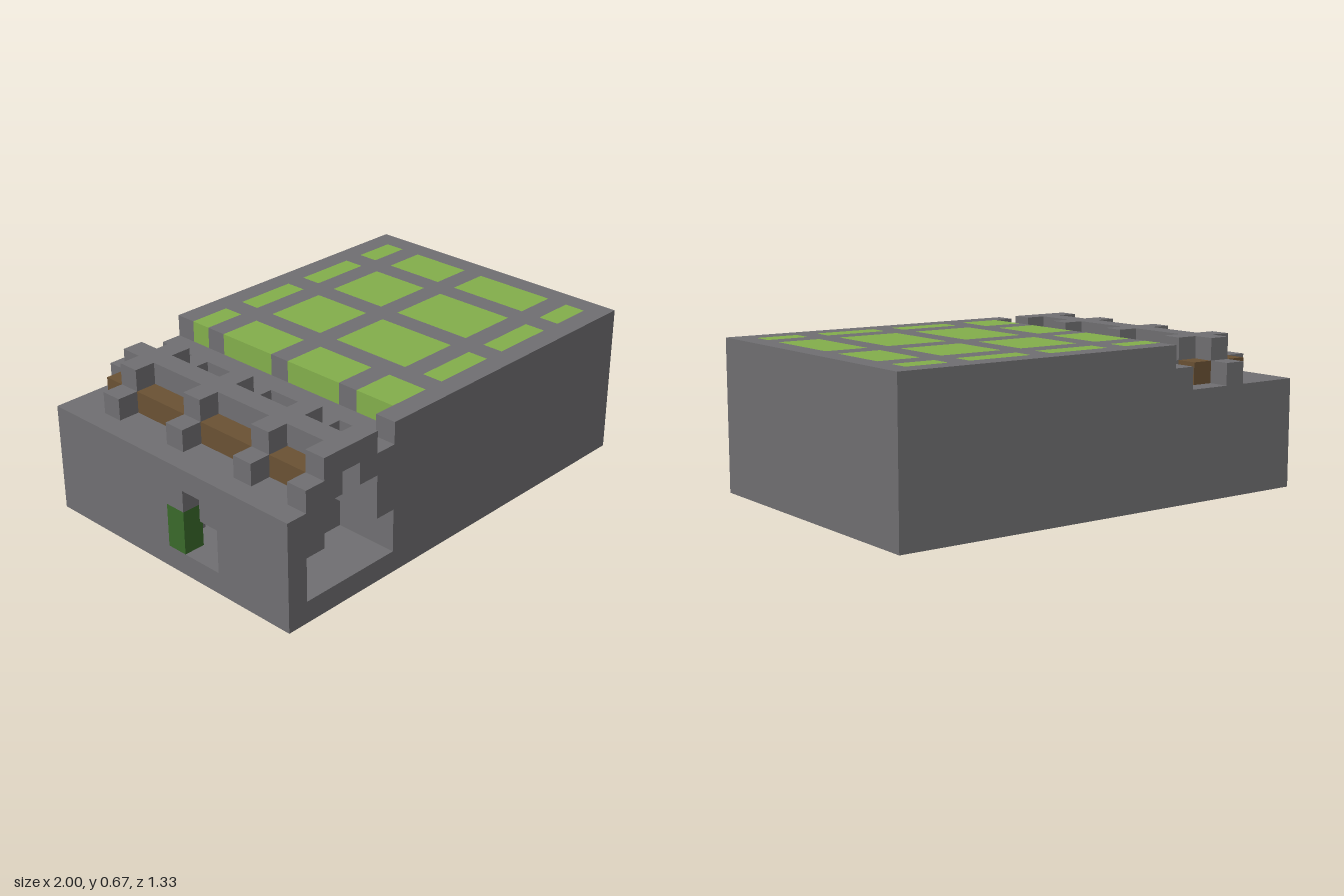
import * as THREE from 'three';
import { mergeGeometries } from 'three/addons/utils/BufferGeometryUtils.js';

// Grid of cubic blocks: 21 wide (x), 7 high (y), 14 deep (z)
const NX = 21, NY = 7, NZ = 14, U = 2 / NX;

export function createModel() {
  const group = new THREE.Group();
  group.name = 'vaultedHallBlock';

  const mat = (name, color) => {
    const m = new THREE.MeshStandardMaterial({ color });
    m.name = name;
    return m;
  };
  const stone = mat('stone grey', 0x717073);
  const grass = mat('grass green', 0x84b04c);
  const timber = mat('timber brown', 0x6b5234);
  const leaf = mat('dark leaf green', 0x3a6a2b);
  const materials = {
    stoneBody: stone, stoneRibs: stone, ridgeBeam: stone, entranceArch: stone,
    grassPatches: grass, timberPanels: timber, plants: leaf, planters: stone,
  };

  // Fill a range of blocks (inclusive) with a part name, or null to hollow it out
  const cells = new Map();
  const key = (i, j, k) => `${i},${j},${k}`;
  const fill = (part, [i0, i1], [j0, j1], [k0, k1]) => {
    for (let i = i0; i <= i1; i++)
      for (let j = j0; j <= j1; j++)
        for (let k = k0; k <= k1; k++)
          if (part) cells.set(key(i, j, k), part);
          else cells.delete(key(i, j, k));
  };

  // Lower mass, ledge beside the vault and the raised terrace
  fill('stoneBody', [0, 20], [0, 4], [0, 13]);
  fill('stoneBody', [6, 20], [5, 5], [0, 13]);
  fill('stoneBody', [7, 20], [6, 6], [0, 13]);
  fill('stoneBody', [6, 6], [6, 6], [13, 13]);

  // Grass beds between the stone paths
  const beds = [[1, 1], [3, 5], [7, 10], [12, 12]];
  for (const xs of [[10, 12], [14, 16], [18, 19]])
    for (const zs of beds) fill('grassPatches', xs, [6, 6], zs);
  const bays = [[1, 1], [3, 5], [7, 9], [11, 12]];
  for (const zs of bays) fill('grassPatches', [7, 8], [6, 6], zs);

  // Vault roof: timber panels on both sides of the ridge
  for (const zs of bays)
    for (const i of [2, 4]) fill('timberPanels', [i, i], [5, 5], zs);
  fill('ridgeBeam', [3, 3], [6, 6], [1, 12]);
  fill('ridgeBeam', [3, 3], [5, 5], [0, 0]);

  // Hollow hall under the vault, stepped in section
  fill(null, [1, 5], [1, 2], [1, 13]);
  fill(null, [2, 4], [3, 4], [1, 13]);

  // Cross ribs and the entrance arch, with buttresses and inner pillars
  for (const k of [2, 6, 10, 13]) {
    const part = k === 13 ? 'entranceArch' : 'stoneRibs';
    fill(part, [1, 5], [5, 5], [k, k]);
    fill(part, [2, 4], [6, 6], [k, k]);
    fill(null, [3, 3], [5, 5], [k, k]);
    if (k < 13) for (const i of [1, 5]) fill(part, [i, i], [1, 2], [k, k]);
  }

  // Side doorway with a leafy shrub beside it
  fill(null, [0, 0], [1, 2], [8, 9]);
  fill(null, [0, 0], [3, 3], [8, 8]);
  fill('plants', [0, 0], [1, 2], [7, 7]);

  // Planters and plants inside the hall
  fill('planters', [1, 1], [1, 1], [12, 12]);
  fill('planters', [2, 2], [1, 1], [3, 3]);
  fill('planters', [3, 3], [1, 1], [1, 1]);
  fill('planters', [4, 4], [1, 1], [4, 4]);
  fill('planters', [4, 4], [4, 4], [1, 1]);
  fill('plants', [2, 2], [2, 4], [3, 3]);
  fill('plants', [4, 4], [2, 2], [4, 4]);

  // One square per block side, turned to face outward
  const side = (rx, ry) =>
    new THREE.PlaneGeometry(U, U).translate(0, 0, U / 2).rotateX(rx).rotateY(ry);
  const Q = Math.PI / 2;
  const sides = [
    [1, 0, 0, side(0, Q)], [-1, 0, 0, side(0, -Q)],
    [0, 1, 0, side(-Q, 0)], [0, -1, 0, side(Q, 0)],
    [0, 0, 1, side(0, 0)], [0, 0, -1, side(0, 2 * Q)],
  ];

  // Keep only exposed sides and merge them part by part
  const faces = {};
  for (const [id, part] of cells) {
    const [i, j, k] = id.split(',').map(Number);
    for (const [dx, dy, dz, geo] of sides) {
      if (cells.has(key(i + dx, j + dy, k + dz))) continue;
      (faces[part] ??= []).push(geo.clone().translate(
        (i + 0.5 - NX / 2) * U, (j + 0.5) * U, (k + 0.5 - NZ / 2) * U));
    }
  }
  for (const [part, list] of Object.entries(faces)) {
    const mesh = new THREE.Mesh(mergeGeometries(list), materials[part]);
    mesh.name = part;
    group.add(mesh);
  }
  return group;
}
